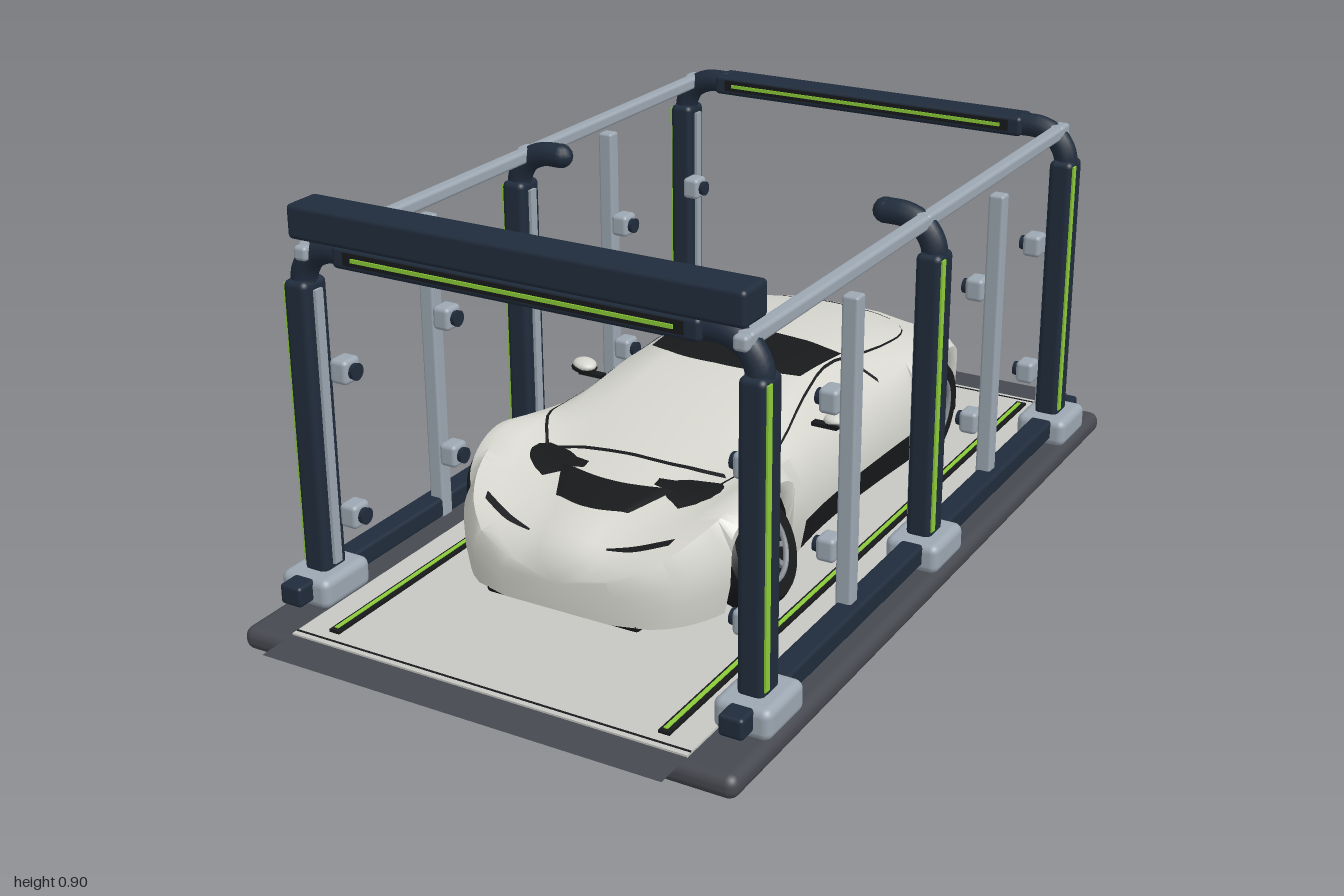
import * as THREE from 'three';
import { toCreasedNormals } from 'three/addons/utils/BufferGeometryUtils.js';
import { RoundedBoxGeometry } from 'three/addons/geometries/RoundedBoxGeometry.js';

const material = (name, color) => Object.assign(new THREE.MeshStandardMaterial({ color }), { name });
const navy = material('navy frame', 0x202c3c);
const silver = material('silver fittings', 0x9ca7b2);
const slate = material('slate platform', 0x474950);
const deckGrey = material('deck grey', 0xc6c7c3);
const pearl = material('pearl bodywork', 0xd6d6cf);
const black = material('black trim', 0x18191b);
const green = material('green light', 0x8ccc38);
const rimGrey = material('rim grey', 0x868c92);
slate.side = black.side = THREE.DoubleSide;

function add(parent, name, geometry, mat, x = 0, y = 0, z = 0) {
  const mesh = new THREE.Mesh(geometry, mat);
  mesh.name = name;
  mesh.position.set(x, y, z);
  parent.add(mesh);
  return mesh;
}
const box = (w, h, d) => new THREE.BoxGeometry(w, h, d);
const rounded = (w, h, d, r) => new RoundedBoxGeometry(w, h, d, 3, r);
function group(parent, name) {
  const g = new THREE.Group();
  g.name = name;
  parent.add(g);
  return g;
}

// Body stations from tail to nose: z, then centre height, roof half width, shoulder height, half width
const stations = [
  [-0.645, 0.28, 0.12, 0.26, 0.23], [-0.61, 0.335, 0.17, 0.31, 0.3], [-0.55, 0.355, 0.2, 0.33, 0.324],
  [-0.4, 0.384, 0.2, 0.337, 0.33], [-0.2, 0.4, 0.2, 0.318, 0.315], [-0.05, 0.402, 0.2, 0.307, 0.306],
  [0.08, 0.39, 0.21, 0.307, 0.306], [0.2, 0.362, 0.215, 0.315, 0.315], [0.37, 0.308, 0.2, 0.331, 0.326],
  [0.48, 0.284, 0.14, 0.302, 0.313], [0.55, 0.268, 0.1, 0.275, 0.285], [0.6, 0.248, 0.09, 0.243, 0.245],
  [0.63, 0.225, 0.08, 0.212, 0.195], [0.645, 0.2, 0.06, 0.19, 0.13],
];
const profile = new THREE.CubicInterpolant(stations.map(s => s[0]), stations.flatMap(s => s.slice(1)), 4);
const axles = [0.37, -0.465], axleY = 0.18, archR = 0.122;
const mix = THREE.MathUtils.lerp;

// Half cross-section from the roof centre down to the floor centre
function section(z) {
  const [T, R, S, W] = profile.evaluate(z);
  let B = 0.1;
  for (const c of axles) {
    const d = Math.abs(z - c);
    if (d < archR) B = Math.max(B, axleY + Math.sqrt(archR * archR - d * d));
  }
  B = Math.min(B, S - 0.02);
  const sx = W * 0.9;
  return [[0, T], [R * 0.6, T - 0.004], [R, T - 0.016], [mix(R, sx, 0.6), mix(T - 0.016, S, 0.62)], [sx, S],
    [W, mix(B, S, 0.68)], [W * 0.99, mix(B, S, 0.32)], [W * 0.95, B], [0, B]];
}

// Height of the upper bodywork at x, z
function topY(x, z) {
  const p = section(z);
  const ax = Math.abs(x);
  for (let i = 0; i < 4; i++) {
    if (ax <= p[i + 1][0]) return mix(p[i][1], p[i + 1][1], (ax - p[i][0]) / (p[i + 1][0] - p[i][0]));
  }
  return p[4][1];
}

// Thin panel lying on the bodywork between two plan curves of [x, z] points
function panel(parent, name, mat, edgeA, edgeB, mirror = 1) {
  const [a, b] = [edgeA, edgeB].map(e => new THREE.SplineCurve(e.map(p => new THREE.Vector2(p[0] * mirror, p[1]))));
  const g = new THREE.PlaneGeometry(1, 1, 24, 10);
  const uv = g.attributes.uv, pos = g.attributes.position;
  for (let i = 0; i < pos.count; i++) {
    const p = a.getPoint(uv.getX(i)).lerp(b.getPoint(uv.getX(i)), uv.getY(i));
    pos.setXYZ(i, p.x, topY(p.x, p.y) + 0.004, p.y);
  }
  g.computeVertexNormals();
  return add(parent, name, g, mat);
}
const seam = (parent, name, path, mirror, w = 0.008) =>
  panel(parent, name, black, path, path.map(([x, z]) => [x + w * 0.6, z + w * 0.6]), mirror);

function buildBody(car) {
  const zs = [];
  for (let i = 0; i <= 60; i++) zs.push(mix(-0.645, 0.645, i / 60));
  for (const c of axles) for (const s of [-1, 1]) zs.push(c + s * 0.1222, c + s * 0.1218, c + s * 0.115);
  zs.sort((a, b) => a - b);
  const loops = zs.map(z => {
    const h = section(z);
    return [...h, ...h.slice(1, 8).reverse().map(([x, y]) => [-x, y])].map(([x, y]) => [x, y, z]);
  });
  const shell = [], trim = [];
  for (let i = 0; i < zs.length - 1; i++) {
    for (let j = 0; j < 16; j++) {
      const k = (j + 1) % 16, a = loops[i][j], b = loops[i][k], c = loops[i + 1][j], d = loops[i + 1][k];
      const sill = (j === 6 || j === 9) && zs[i] > -0.35 && zs[i] < 0.17;
      (sill || j === 7 || j === 8 ? trim : shell).push(...a, ...c, ...b, ...b, ...c, ...d);
    }
  }
  // Nose and tail caps
  const last = loops.length - 1;
  for (let j = 0; j < 16; j++) {
    const k = (j + 1) % 16;
    shell.push(0, 0.16, 0.647, ...loops[last][k], ...loops[last][j]);
    shell.push(0, 0.2, -0.648, ...loops[0][j], ...loops[0][k]);
  }
  for (const [name, mat, list] of [['carBody', pearl, shell], ['sillsAndFloor', black, trim]]) {
    const g = new THREE.BufferGeometry();
    g.setAttribute('position', new THREE.Float32BufferAttribute(list, 3));
    add(car, name, toCreasedNormals(g, 0.75), mat);
  }
}

// Wheel facing +x
function buildWheel(parent, name) {
  const w = group(parent, name);
  const outline = [[0.078, -0.045], [0.105, -0.045], [0.115, -0.032], [0.115, 0.032], [0.105, 0.045], [0.078, 0.045], [0.074, 0.02]];
  const tyre = new THREE.LatheGeometry(outline.map(p => new THREE.Vector2(...p)), 36).rotateZ(-Math.PI / 2);
  add(w, 'tyre', toCreasedNormals(tyre, 0.6), black);
  const disc = (r, h) => new THREE.CylinderGeometry(r, r, h, 28).rotateZ(Math.PI / 2);
  add(w, 'wheelBack', disc(0.076, 0.05), black);
  add(w, 'rimRing', new THREE.TorusGeometry(0.074, 0.006, 6, 32).rotateY(Math.PI / 2), rimGrey, 0.04);
  add(w, 'hub', disc(0.018, 0.02), rimGrey, 0.032);
  for (let i = 0; i < 10; i++) {
    add(w, 'spoke', box(0.01, 0.06, 0.011).translate(0, 0.043, 0), rimGrey, 0.033).rotation.x = i * Math.PI / 5;
  }
  return w;
}

function buildCar(root) {
  const car = group(root, 'sportsCar');
  buildBody(car);
  add(car, 'underbody', box(0.4, 0.16, 1.06), black, 0, 0.17, -0.02);
  add(car, 'frontLip', rounded(0.36, 0.025, 0.06, 0.01), black, 0, 0.1, 0.602);
  add(car, 'rearDiffuser', rounded(0.4, 0.03, 0.06, 0.01), black, 0, 0.105, -0.618);
  panel(car, 'roofGlass', black, [[-0.2, -0.205], [0, -0.215], [0.2, -0.205]], [[-0.185, -0.035], [-0.1, 0], [0, 0.01], [0.1, 0], [0.185, -0.035]]);
  panel(car, 'hoodIntake', black, [[-0.135, 0.41], [0, 0.435], [0.135, 0.41]], [[-0.085, 0.51], [0, 0.53], [0.085, 0.51]]);
  seam(car, 'windscreenBase', [[-0.2, 0.36], [-0.06, 0.345], [0.1, 0.34], [0.2, 0.325]], 1, 0.014);
  seam(car, 'rearScreenEdge', [[-0.16, -0.545], [-0.08, -0.562], [0, -0.566], [0.08, -0.562], [0.16, -0.545]], 1, 0.01);
  for (const s of [-1, 1]) {
    seam(car, 'cabinEdge', [[0.2, 0.36], [0.255, 0.27], [0.25, 0.18], [0.215, 0], [0.2, -0.15], [0.23, -0.35], [0.225, -0.47], [0.16, -0.55]], s);
    seam(car, 'quarterLine', [[0.2, -0.205], [0.24, -0.225], [0.275, -0.235]], s, 0.012);
    panel(car, 'headlight', black, [[0.09, 0.598], [0.15, 0.583], [0.22, 0.555]], [[0.09, 0.602], [0.15, 0.596], [0.215, 0.572]], s);
    add(car, 'bumperVent', rounded(0.09, 0.035, 0.06, 0.012), black, s * 0.165, 0.115, 0.592).rotation.y = s * 0.4;
    add(car, 'rearVent', rounded(0.06, 0.075, 0.07, 0.015), black, s * 0.272, 0.145, -0.605);
    // Door mirror
    add(car, 'mirrorArm', box(0.06, 0.008, 0.02), black, s * 0.29, 0.333, 0.05);
    const shell = add(car, 'mirrorShell', new THREE.SphereGeometry(1, 16, 10), pearl, s * 0.315, 0.347, 0.04);
    shell.scale.set(0.032, 0.014, 0.025);
    shell.rotation.y = s * 0.5;
    const under = add(car, 'mirrorUnderside', new THREE.SphereGeometry(1, 16, 10), black, s * 0.315, 0.341, 0.042);
    under.scale.set(0.031, 0.012, 0.025);
    // Front wheels both lean the same way
    for (const z of axles) {
      const front = z > 0;
      const pivot = group(car, front ? 'frontWheelMount' : 'rearWheelMount');
      pivot.position.set(s * 0.28, axleY, z);
      if (front) pivot.rotation.z = 0.436;
      buildWheel(pivot, 'wheel').rotation.y = s > 0 ? 0 : Math.PI;
    }
  }
}

function buildSensor(parent, s, y, z) {
  add(parent, 'sensorHousing', rounded(0.042, 0.052, 0.05, 0.01), silver, s * 0.453, y, z);
  add(parent, 'sensorLens', new THREE.CylinderGeometry(0.016, 0.018, 0.014, 16).rotateZ(Math.PI / 2), navy, s * 0.428, y, z);
}

function buildFrame(root) {
  const frame = group(root, 'portalFrame');
  for (const s of [-1, 1]) {
    add(frame, 'floorRail', rounded(0.052, 0.045, 1.7, 0.008), navy, s * 0.503, 0.094, 0);
    add(frame, 'handRail', rounded(0.03, 0.03, 1.55, 0.008), silver, s * 0.478, 0.8, 0);
    for (const z of [-0.738, 0, 0.738]) {
      add(frame, 'postFoot', rounded(0.12, 0.066, 0.145, 0.018), silver, s * 0.502, 0.087, z);
      add(frame, 'post', rounded(0.056, 0.63, 0.072, 0.014), navy, s * 0.5, 0.425, z);
      add(frame, 'postLight', box(0.004, 0.6, 0.016), green, s * 0.529, 0.43, z + 0.02);
      add(frame, 'postInnerStrip', box(0.008, 0.59, 0.022), silver, s * 0.469, 0.425, z);
      const bend = new THREE.CatmullRomCurve3([[0.5, 0.71], [0.498, 0.75], [0.475, 0.787], [0.435, 0.806], [0.39, 0.808]]
        .map(([x, y]) => new THREE.Vector3(s * x, y, z)));
      add(frame, 'postElbow', new THREE.TubeGeometry(bend, 16, 0.027, 12), navy);
      add(frame, 'elbowEnd', new THREE.SphereGeometry(0.027, 12, 8), navy, s * 0.39, 0.808, z);
      add(frame, 'railClamp', rounded(0.036, 0.036, 0.04, 0.008), silver, s * 0.478, 0.8, z);
      if (z) for (const y of [0.225, 0.54]) buildSensor(frame, s, y, z - Math.sign(z) * 0.045);
    }
    for (const z of [-0.355, 0.355]) {
      add(frame, 'slimPost', rounded(0.035, 0.69, 0.035, 0.006), silver, s * 0.492, 0.415, z);
      for (const y of [0.225, 0.54]) buildSensor(frame, s, y, z);
    }
  }
  for (const z of [-0.738, 0.738]) {
    add(frame, 'crossBeam', rounded(0.8, 0.046, 0.075, 0.01), navy, 0, 0.808, z);
    add(frame, 'beamLightTray', box(0.74, 0.026, 0.004), black, 0, 0.81, z + 0.038);
    add(frame, 'beamLight', box(0.7, 0.008, 0.004), green, 0, 0.81, z + 0.041);
  }
  add(frame, 'headerBeam', rounded(0.99, 0.07, 0.086, 0.01), navy, 0, 0.866, 0.742);
}

function buildPlatform(root) {
  const platform = group(root, 'platform');
  add(platform, 'base', rounded(1.12, 0.05, 1.87, 0.022), slate, 0, 0.025, 0);
  add(platform, 'deck', box(0.9, 0.008, 1.82), deckGrey, 0, 0.051, 0);
  for (const s of [-1, 1]) {
    add(platform, 'rampFlap', new THREE.PlaneGeometry(0.9, 0.1).rotateX(-Math.PI / 2), slate, 0, 0.051, s * 0.95);
    add(platform, 'deckSeam', box(0.9, 0.002, 0.005), black, 0, 0.055, s * 0.896);
    add(platform, 'laneTray', box(0.024, 0.008, 1.74), black, s * 0.378, 0.057, 0);
    add(platform, 'laneLight', box(0.009, 0.004, 1.72), green, s * 0.378 - 0.002, 0.061, 0);
  }
}

export function createModel() {
  const root = new THREE.Group();
  root.name = 'carInspectionPortal';
  buildPlatform(root);
  buildFrame(root);
  buildCar(root);
  return root;
}
